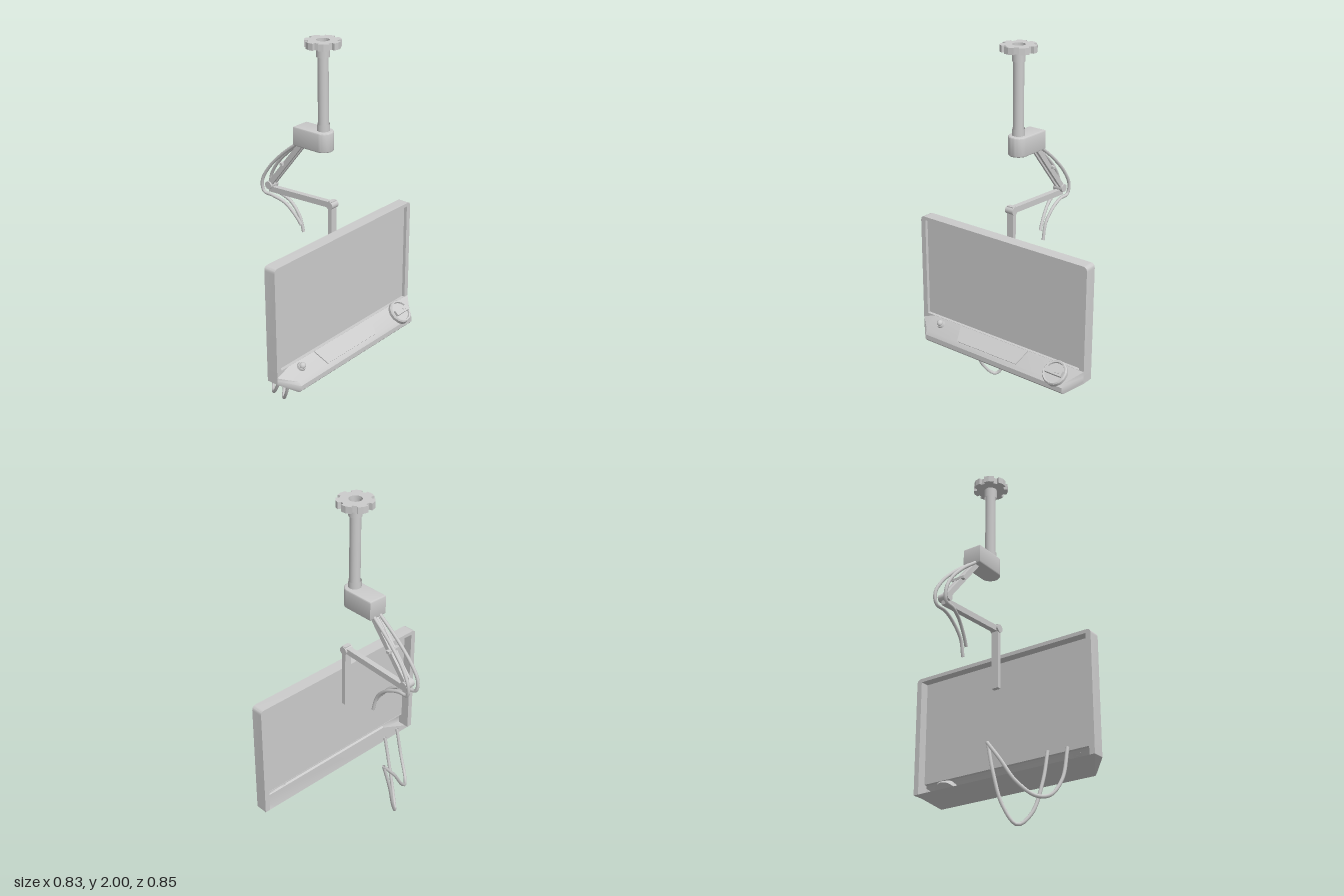
import * as THREE from 'three';
import { toCreasedNormals } from 'three/addons/utils/BufferGeometryUtils.js';

const material = new THREE.MeshStandardMaterial({ color: 0xcccccc, side: THREE.DoubleSide });

function add(parent, name, geometry, x = 0, y = 0, z = 0) {
  const mesh = new THREE.Mesh(geometry, material);
  mesh.name = name;
  mesh.position.set(x, y, z);
  parent.add(mesh);
  return mesh;
}

function cable(parent, name, points, radius = 0.009) {
  const curve = new THREE.CatmullRomCurve3(points.map(p => new THREE.Vector3(...p)));
  return add(parent, name, new THREE.TubeGeometry(curve, 48, radius, 8));
}

// Straight bar between two points in the plane x = 0
function bar(parent, name, [y0, z0], [y1, z1], width, thick, x = 0) {
  const length = Math.hypot(y1 - y0, z1 - z0);
  const mesh = add(parent, name, new THREE.BoxGeometry(width, length, thick), x, (y0 + y1) / 2, (z0 + z1) / 2);
  mesh.rotation.x = Math.atan2(z1 - z0, y1 - y0);
  return mesh;
}

// Skin over equal-length sections [x, [[z, y], ...]]
function loft(sections) {
  const pos = [];
  const put = (i, j) => pos.push(sections[i][0], sections[i][1][j][1], sections[i][1][j][0]);
  for (let i = 0; i < sections.length - 1; i++) {
    for (let j = 0; j < sections[i][1].length - 1; j++) {
      put(i, j); put(i, j + 1); put(i + 1, j);
      put(i + 1, j); put(i, j + 1); put(i + 1, j + 1);
    }
  }
  const g = new THREE.BufferGeometry();
  g.setAttribute('position', new THREE.Float32BufferAttribute(pos, 3));
  return toCreasedNormals(g, 0.6);
}

function buildMonitor(parent) {
  const monitor = new THREE.Group();
  monitor.name = 'monitor';
  parent.add(monitor);

  // Frame: top and two sides, open at the back
  const W = 0.55, w = 0.52, r = 0.025;
  const s = new THREE.Shape();
  s.moveTo(-W, 0.345);
  s.lineTo(-w, 0.345);
  s.lineTo(-w, 0.98);
  s.lineTo(w, 0.98);
  s.lineTo(w, 0.345);
  s.lineTo(W, 0.345);
  s.lineTo(W, 1 - r);
  s.quadraticCurveTo(W, 1, W - r, 1);
  s.lineTo(-W + r, 1);
  s.quadraticCurveTo(-W, 1, -W, 1 - r);
  const frame = new THREE.ExtrudeGeometry(s, { depth: 0.068, bevelEnabled: false, curveSegments: 5 });
  add(monitor, 'frame', toCreasedNormals(frame, 0.6), 0, 0, -0.035);
  add(monitor, 'screen', new THREE.PlaneGeometry(2 * w, 0.57), 0, 0.695, 0.015);
  add(monitor, 'screenLedge', new THREE.BoxGeometry(2 * w, 0.006, 0.02), 0, 0.413, 0.023);

  // Console lip that bulges forward and tapers into the lower corners
  const flat = [[0.033, 0.415], [0.033, 0.385], [0.033, 0.37], [0.033, 0.36], [0.033, 0.345], [-0.035, 0.345]];
  const full = [[0.033, 0.415], [0.105, 0.352], [0.119, 0.332], [0.119, 0.305], [0.105, 0.29], [-0.035, 0.345]];
  add(monitor, 'consoleLip', loft([[-W, flat], [-0.465, full], [0.475, full], [W, flat]]));

  // Controls sit on the sloping face: local y points out of it
  const controls = new THREE.Group();
  controls.name = 'controls';
  controls.position.set(0, 0.3835, 0.069);
  controls.rotation.x = 0.72;
  monitor.add(controls);

  const plate = new THREE.Shape([[-0.27, 0.045], [-0.24, -0.045], [0.165, -0.045], [0.195, 0.045]]
    .map(p => new THREE.Vector2(...p)));
  const panel = add(controls, 'controlPanel', new THREE.ExtrudeGeometry(plate, { depth: 0.006, bevelEnabled: false }));
  panel.rotation.x = -Math.PI / 2;

  const dial = [[0, -0.025], [0.068, -0.025], [0.07, 0.018], [0.064, 0.026], [0.056, 0.024], [0.054, 0.014], [0, 0.014]];
  add(controls, 'dial', toCreasedNormals(
    new THREE.LatheGeometry(dial.map(p => new THREE.Vector2(...p)), 14), 0.6), 0.408, 0, 0.012);
  add(controls, 'dialGrip', new THREE.BoxGeometry(0.104, 0.026, 0.032), 0.408, 0.024, 0.012);
  add(controls, 'dialMarker', new THREE.BoxGeometry(0.03, 0.005, 0.01), 0.43, 0.038, 0.012);

  add(controls, 'buttonBase', new THREE.CylinderGeometry(0.022, 0.025, 0.014, 16), -0.398, 0.006, -0.014);
  add(controls, 'button', new THREE.SphereGeometry(0.018, 16, 10), -0.398, 0.016, -0.014);
}

function buildMount(parent) {
  const mount = new THREE.Group();
  mount.name = 'mount';
  parent.add(mount);
  const pz = -0.122;

  // Notched ceiling flange with a bore
  const teeth = 7, rim = [];
  for (let i = 0; i < teeth; i++) {
    for (const [t, rad] of [[0, 0.093], [0.33, 0.095], [0.66, 0.093], [0.68, 0.076], [0.98, 0.076]]) {
      const a = (i + t) / teeth * Math.PI * 2;
      rim.push(new THREE.Vector2(Math.cos(a) * rad, Math.sin(a) * rad));
    }
  }
  const gear = new THREE.Shape(rim);
  gear.holes.push(new THREE.Path().absarc(0, 0, 0.034, 0, Math.PI * 2, true));
  const flange = add(mount, 'ceilingFlange',
    new THREE.ExtrudeGeometry(gear, { depth: 0.035, bevelEnabled: false }), 0, 1.965, pz);
  flange.rotation.x = -Math.PI / 2;

  // Pole with collars
  add(mount, 'pole', new THREE.CylinderGeometry(0.028, 0.028, 0.46, 24, 1, true), 0, 1.76, pz);
  for (const [y, h] of [[1.55, 0.035], [1.94, 0.05]]) {
    add(mount, 'poleCollar', new THREE.CylinderGeometry(0.034, 0.034, h, 24, 1, true), 0, y, pz);
  }
  const poleCap = add(mount, 'poleFloor', new THREE.CircleGeometry(0.03, 24), 0, 1.945, pz);
  poleCap.rotation.x = -Math.PI / 2;

  // Bracket rounded around the pole, softened at the far end
  const b = new THREE.Shape();
  b.moveTo(0.046, 0.155);
  b.lineTo(0.046, 0);
  b.absarc(0, 0, 0.046, 0, Math.PI, true);
  b.lineTo(-0.046, 0.155);
  const bracket = new THREE.ExtrudeGeometry(b, {
    depth: 0.091, bevelThickness: 0.007, bevelSize: 0.007, bevelSegments: 3, curveSegments: 12 });
  const bracketMesh = add(mount, 'bracket', toCreasedNormals(bracket, 0.6), 0, 1.432, pz);
  bracketMesh.rotation.x = -Math.PI / 2;

  // Folding arm
  for (const side of [-1, 1]) {
    bar(mount, 'upperArmRail', [1.45, -0.245], [1.145, -0.495], 0.012, 0.028, side * 0.015);
  }
  bar(mount, 'upperArmCore', [1.45, -0.25], [1.17, -0.48], 0.02, 0.016);
  bar(mount, 'lowerArm', [1.115, -0.505], [1.137, -0.06], 0.03, 0.032);
  bar(mount, 'hangerPost', [1.16, -0.066], [0.8, -0.066], 0.04, 0.024);
  for (const [y, z, len] of [[1.14, -0.495, 0.06], [1.137, -0.066, 0.05]]) {
    const pin = add(mount, 'hingePin', new THREE.CylinderGeometry(0.022, 0.022, len, 16), 0, y, z);
    pin.rotation.z = Math.PI / 2;
  }
  add(mount, 'cableClip', new THREE.BoxGeometry(0.075, 0.014, 0.02), 0, 1.29, -0.39);

  // Cables that follow the arm, loop round the elbow and hang down
  for (const side of [-1, 1]) {
    cable(mount, 'armCable', [
      [side * 0.02, 1.44, -0.27], [side * 0.025, 1.34, -0.395], [side * 0.03, 1.24, -0.49],
      [side * 0.034, 1.16, -0.532], [side * 0.03, 1.1, -0.525], [side * 0.026, 1.09, -0.465],
      [0.012 + side * 0.02, 1.06, -0.39], [0.02 + side * 0.012, 0.99, -0.325],
      [0.025 + side * 0.01, side > 0 ? 0.9 : 0.95, -0.3]]);
  }
}

export function createModel() {
  const model = new THREE.Group();
  model.name = 'ceilingMonitor';

  // Screen and mount share one turned axis
  const turned = new THREE.Group();
  turned.name = 'turnedAssembly';
  turned.rotation.y = 0.82;
  model.add(turned);
  buildMonitor(turned);
  buildMount(turned);

  // Slack cables hanging behind the screen
  cable(model, 'deepCable', [
    [-0.255, 0.43, -0.11], [-0.29, 0.27, -0.088], [-0.312, 0.1, -0.045], [-0.325, 0.01, 0.02],
    [-0.312, 0.07, 0.09], [-0.282, 0.24, 0.15], [-0.255, 0.4, 0.18]]);
  cable(model, 'shallowCable', [
    [-0.255, 0.43, -0.113], [-0.315, 0.33, -0.06], [-0.355, 0.21, 0.01], [-0.378, 0.135, 0.1],
    [-0.375, 0.14, 0.165], [-0.35, 0.23, 0.23], [-0.32, 0.4, 0.265]]);
  return model;
}
